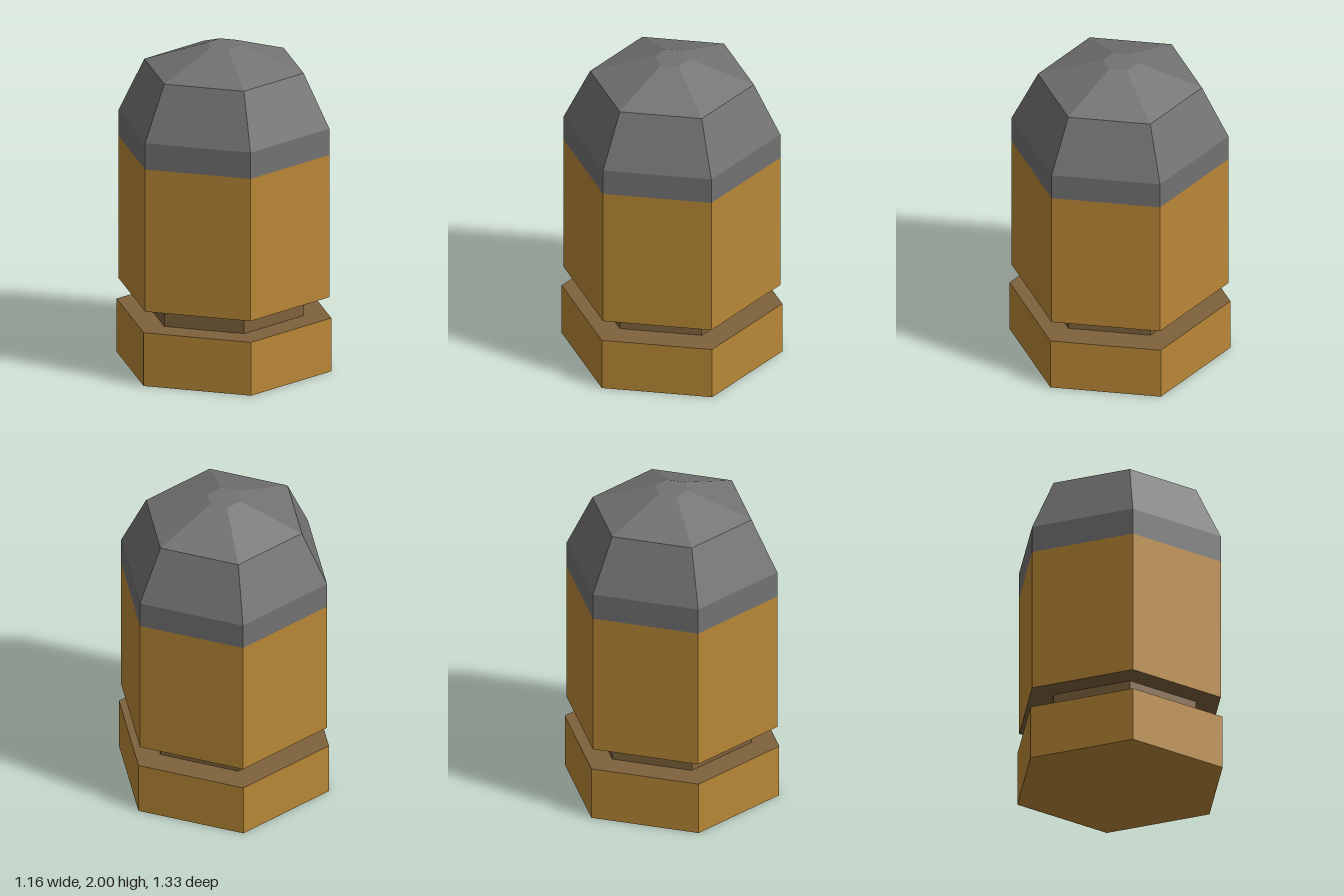
import * as THREE from 'three';

export function createModel() {
  const mat = (name, color) => {
    const m = new THREE.MeshStandardMaterial({ color, flatShading: true });
    m.name = name;
    return m;
  };
  const brass = mat('brass', 0xb88736);
  const darkBrass = mat('dark brass', 0x7e623c);
  const lead = mat('lead grey', 0x727272);

  const group = new THREE.Group();
  group.name = 'hexagonalCartridge';

  // Six-sided section with a corner facing the front; materials are side, top, bottom
  const section = (name, y0, y1, r0, r1, materials, open = false) => {
    const geo = new THREE.CylinderGeometry(r1, r0, y1 - y0, 6, 1, open);
    const mesh = new THREE.Mesh(geo, materials);
    mesh.name = name;
    mesh.position.y = (y0 + y1) / 2;
    group.add(mesh);
  };

  // Casing: base rim, recessed groove and body
  section('baseRim', 0, 0.335, 0.667, 0.667, [brass, darkBrass, brass]);
  section('grooveNeck', 0.335, 0.465, 0.495, 0.495, darkBrass, true);
  section('caseBody', 0.465, 1.36, 0.655, 0.655, [brass, brass, darkBrass]);

  // Tip: straight collar, shoulder and blunt nose
  section('tipCollar', 1.36, 1.525, 0.655, 0.655, lead, true);
  section('tipShoulder', 1.525, 1.86, 0.655, 0.495, lead, true);
  section('tipNose', 1.86, 2, 0.495, 0.105, lead);

  return group;
}
